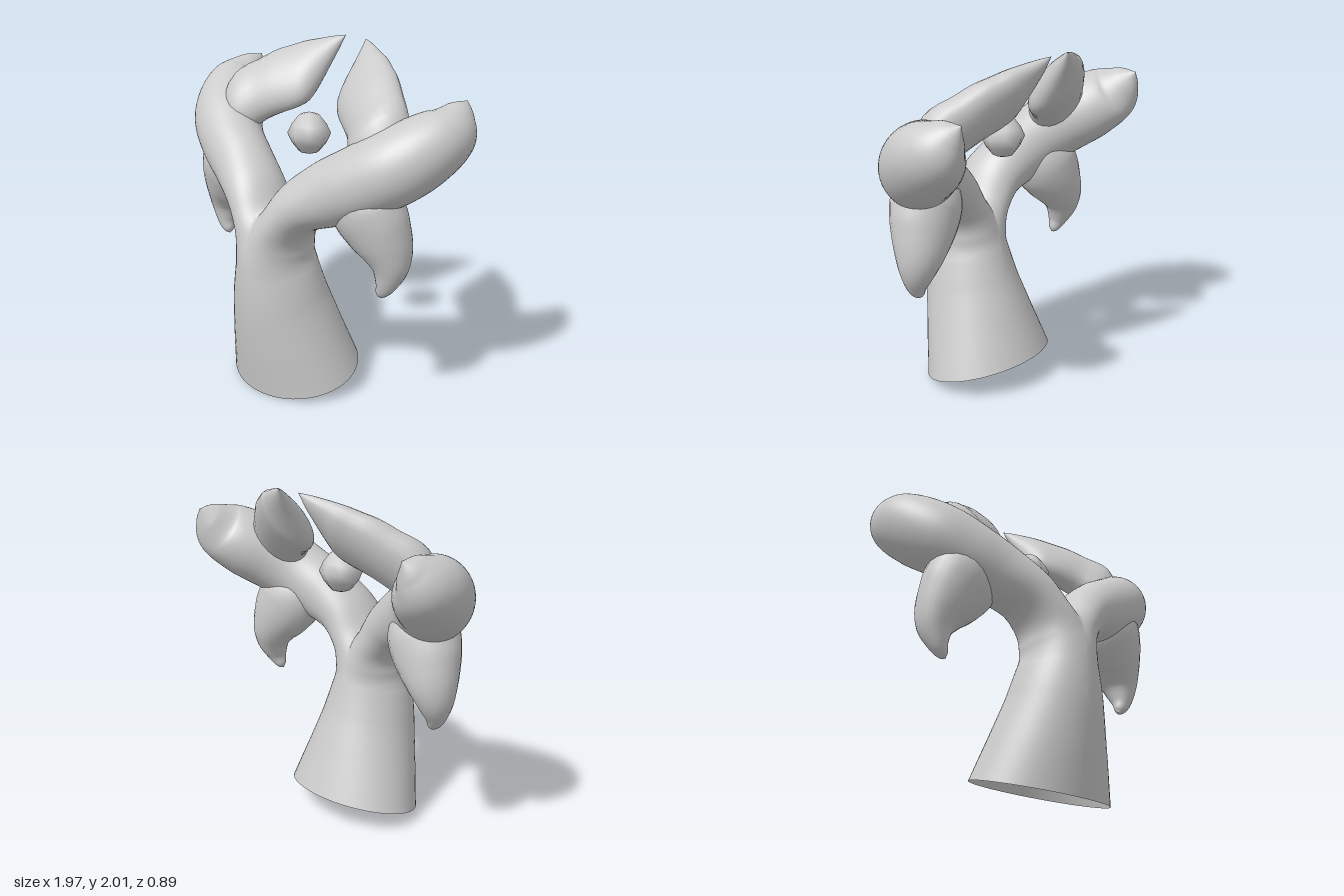
import * as THREE from 'three';
import { mergeGeometries, mergeVertices } from 'three/addons/utils/BufferGeometryUtils.js';

const material = new THREE.MeshStandardMaterial({ color: 0xcccccc, side: THREE.DoubleSide });
const DEPTH = new THREE.Vector3(0, 0, 1);

// Smooth sweep through stations [x, y, z, radius across, radius in depth]; side -1 mirrors in x.
// Rings follow the path unless a fixed frame [across, depth] is given.
// Each half stops at the middle plane x = 0, where it meets its mirror image.
function sweep(stations, side, rings = 36, sides = 24, frame = null) {
  const curve = points => new THREE.CatmullRomCurve3(points, false, 'catmullrom', 0.5);
  const path = curve(stations.map(s => new THREE.Vector3(s[0] * side, s[1], s[2])));
  const radii = curve(stations.map(s => new THREE.Vector3(s[3], s[4], 0)));
  const positions = [], index = [];
  for (let i = 0; i <= rings; i++) {
    const t = i / rings;
    const centre = path.getPoint(t), tangent = path.getTangent(t), r = radii.getPoint(t);
    const u = frame ? frame[0].clone() : new THREE.Vector3().crossVectors(DEPTH, tangent).normalize();
    const v = frame ? frame[1].clone() : new THREE.Vector3().crossVectors(tangent, u);
    u.multiplyScalar(Math.max(r.x, 0.001));
    v.multiplyScalar(Math.max(r.y, 0.001));
    const ringPoint = (c, s) => centre.clone().addScaledVector(u, c).addScaledVector(v, s);
    for (let j = 0; j < sides; j++) {
      const a = j / sides * Math.PI * 2;
      let p = ringPoint(Math.cos(a), Math.sin(a));
      if (p.x * side < 1e-5) {
        // Slide along the ring to where it crosses the middle plane
        const c = THREE.MathUtils.clamp(-centre.x / u.x, -1, 1);
        p = ringPoint(c, Math.sign(Math.sin(a)) * Math.sqrt(1 - c * c)).setX(0);
      }
      positions.push(p.x, p.y, p.z);
    }
  }
  // Leave out faces lying in the middle plane
  const addFace = (...face) => {
    if (face.some(k => positions[k * 3] !== 0)) index.push(...face);
  };
  for (let i = 0; i < rings; i++) {
    for (let j = 0; j < sides; j++) {
      const p0 = i * sides + j, p1 = i * sides + (j + 1) % sides;
      addFace(p0, p1, p0 + sides);
      addFace(p1, p1 + sides, p0 + sides);
    }
  }
  const geometry = new THREE.BufferGeometry();
  geometry.setAttribute('position', new THREE.Float32BufferAttribute(positions, 3));
  geometry.setIndex(index);
  geometry.computeVertexNormals();
  return geometry;
}

function part(name, geometry) {
  const mesh = new THREE.Mesh(geometry, material);
  mesh.name = name;
  return mesh;
}

// Flared leaning stem, open at the foot, flowing into a branch that ends in a raised tip
const trunkAndArm = [
  [0, 0.085, 0.035, 0.42, 0.345],
  [0, 0.34, 0.105, 0.34, 0.315],
  [0, 0.57, 0.16, 0.27, 0.285],
  [0, 0.79, 0.19, 0.215, 0.255],
  [0.04, 0.94, 0.192, 0.172, 0.228],
  [0.11, 1.06, 0.185, 0.137, 0.208],
  [0.21, 1.18, 0.165, 0.155, 0.192],
  [0.36, 1.275, 0.12, 0.185, 0.182],
  [0.53, 1.37, 0.06, 0.2, 0.19],
  [0.67, 1.46, -0.03, 0.208, 0.21],
  [0.77, 1.55, -0.16, 0.195, 0.21],
  [0.828, 1.63, -0.28, 0.156, 0.175],
  [0.83, 1.72, -0.375, 0.08, 0.095],
  [0.822, 1.78, -0.438, 0, 0],
];

// Flat, backward-leaning inner finger with a sharp point
const innerFinger = [
  [0.68, 1.47, -0.04, 0.12, 0.1],
  [0.56, 1.585, -0.05, 0.2, 0.13],
  [0.45, 1.67, -0.13, 0.198, 0.122],
  [0.36, 1.725, -0.185, 0.206, 0.116],
  [0.288, 1.757, -0.225, 0.206, 0.108],
  [0.228, 1.793, -0.265, 0.196, 0.098],
  [0.188, 1.84, -0.305, 0.155, 0.08],
  [0.15, 1.902, -0.36, 0.096, 0.055],
  [0.115, 1.954, -0.405, 0.046, 0.03],
  [0.08, 2.0, -0.44, 0, 0],
];
const fingerFrame = side => [
  new THREE.Vector3(-0.46, -0.73 * side, 0.5 * side),
  new THREE.Vector3(0, 0.62, 0.78),
];

// Drooping outer finger, curling inward at the tip
const lowerFinger = [
  [0.52, 1.42, 0.02, 0.1, 0.1],
  [0.525, 1.33, 0.035, 0.175, 0.155],
  [0.55, 1.23, 0.03, 0.215, 0.183],
  [0.607, 1.12, 0.005, 0.2, 0.172],
  [0.665, 1.0, -0.018, 0.148, 0.143],
  [0.69, 0.9, -0.018, 0.105, 0.105],
  [0.68, 0.8, 0.0, 0.06, 0.06],
  [0.65, 0.74, 0.01, 0.03, 0.03],
  [0.635, 0.722, 0.015, 0, 0],
];

export function createModel() {
  const model = new THREE.Group();
  model.name = 'branchingSculpture';

  // Both halves joined into one forked body
  const halves = [1, -1].map(side => sweep(trunkAndArm, side, 104, 48));
  halves.forEach(half => half.deleteAttribute('normal'));
  const body = mergeVertices(mergeGeometries(halves));
  body.computeVertexNormals();
  model.add(part('trunkAndArms', body));

  for (const [label, side] of [['left', 1], ['right', -1]]) {
    model.add(
      part(label + 'InnerFinger', sweep(innerFinger, side, 36, 24, fingerFrame(side))),
      part(label + 'LowerFinger', sweep(lowerFinger, side)));
  }

  // Small eight-sided bead floating between the fingers
  const profile = [[0, -0.125], [0.06, -0.105], [0.1, -0.055], [0.125, 0], [0.1, 0.055], [0.06, 0.105], [0, 0.125]];
  const bead = part('floatingBead',
    new THREE.LatheGeometry(profile.map(p => new THREE.Vector2(...p)), 8));
  bead.position.set(0, 1.5, -0.07);
  model.add(bead);

  return model;
}
